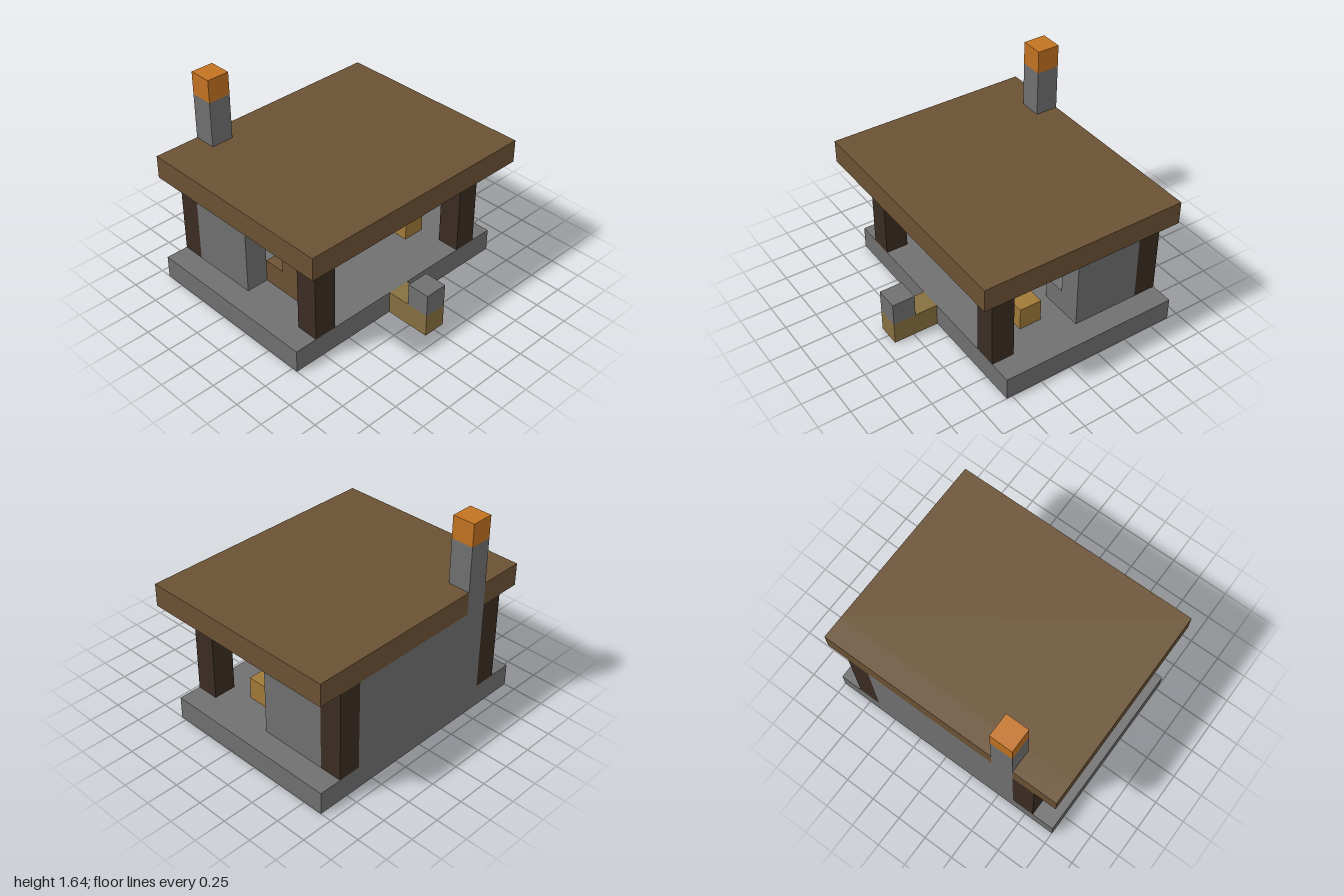
import * as THREE from 'three';

const U = 2 / 11; // edge of one block

const mat = (name, color) => {
  const m = new THREE.MeshStandardMaterial({ color });
  m.name = name;
  return m;
};

export function createModel() {
  const stone = mat('stone grey', 0x707070);
  const plank = mat('plank brown', 0x6b5234);
  const log = mat('dark log', 0x3a2c22);
  const fire = mat('fire orange', 0xc27221);
  const path = mat('path tan', 0x877040);
  const gold = mat('golden wood', 0xa07a38);

  const model = new THREE.Group();
  model.name = 'openWorkshop';

  // Box over whole blocks: first cell (x, y, z) and size in cells; z counts from the back
  const block = (name, material, [x, y, z], [w, h, d] = [1, 1, 1], parent = model) => {
    const mesh = new THREE.Mesh(new THREE.BoxGeometry(w * U, h * U, d * U), material);
    mesh.position.set((x + w / 2 - 5.5) * U, (y + h / 2) * U, (z + d / 2 - 5) * U);
    mesh.name = name;
    parent.add(mesh);
  };
  const group = (name) => {
    const g = new THREE.Group();
    g.name = name;
    model.add(g);
    return g;
  };

  // Floor, entrance path and the stone on its end
  block('floor', stone, [0, 0, 0], [11, 1, 8]);
  block('path', path, [5, 0, 8], [1, 1, 2]);
  block('pathStone', stone, [5, 1, 9]);

  // Corner posts and low side walls
  for (const [x, side] of [[1, 'right'], [9, 'left']]) {
    block(side + 'BackPost', log, [x, 1, 0], [1, 4, 1]);
    block(side + 'FrontPost', log, [x, 1, 7], [1, 4, 1]);
    block(side + 'Wall', stone, [x, 1, 1], [1, 3, 3]);
  }
  block('backWall', stone, [2, 1, 0], [7, 4, 1]);

  // Roof slab, notched at the back for the chimney
  const roof = group('roof');
  block('roofMain', plank, [0, 5, 1], [11, 1, 8], roof);
  block('roofBackRight', plank, [0, 5, 0], [2, 1, 1], roof);
  block('roofBackLeft', plank, [3, 5, 0], [8, 1, 1], roof);

  // Chimney with glowing top
  block('chimney', stone, [2, 5, 0], [1, 3, 1]);
  block('chimneyFire', fire, [2, 8, 0]);

  // Hearth along the back wall
  const hearth = group('hearth');
  block('hearthRightStone', stone, [3, 1, 1], [1, 1, 1], hearth);
  block('hearthFire', fire, [4, 1, 1], [1, 1, 1], hearth);
  block('hearthLeftStones', stone, [5, 1, 1], [2, 1, 1], hearth);

  // Chair
  const chair = group('chair');
  block('chairBack', plank, [2, 1, 5], [1, 2, 1], chair);
  block('chairSeat', plank, [2, 1, 4], [1, 1, 1], chair);

  // Work stones, chest and hanging lantern
  for (const x of [6, 8]) block('workStone', stone, [x, 1, 3]);
  block('chest', gold, [8, 1, 5]);
  block('lantern', gold, [5, 4, 3]);

  return model;
}
